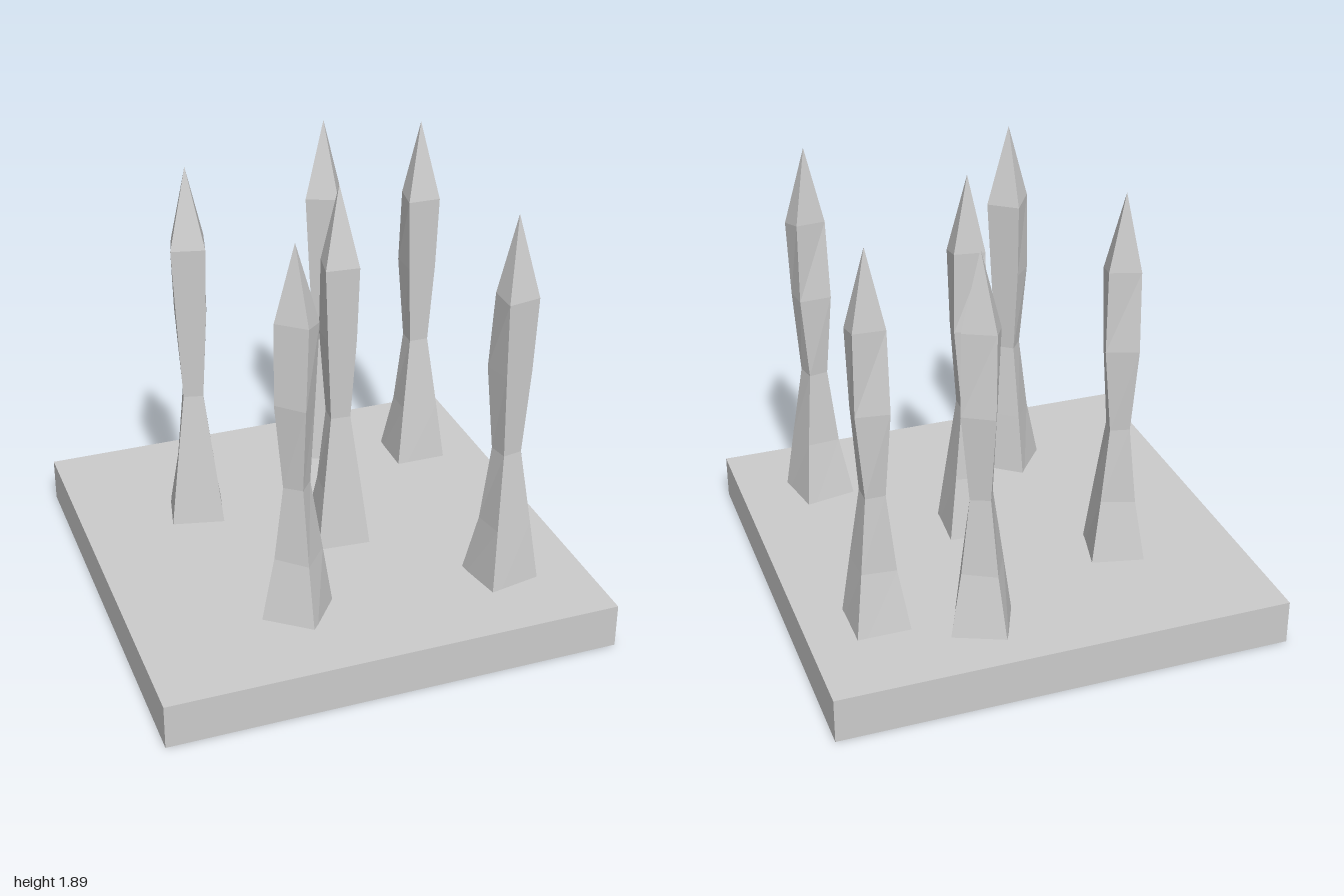
import * as THREE from 'three';

const material = new THREE.MeshStandardMaterial({ color: 0xcccccc, flatShading: true, side: THREE.DoubleSide });

// Four-cornered cross-sections from bottom to top: [x, y, z] for back left, back right, front right, front left
const RINGS = [
  [[-0.13, 0.1, -0.135], [0.13, 0.1, -0.135], [0.129, 0.1, 0.129], [-0.129, 0.1, 0.129]],
  [[-0.075, 0.47, -0.066], [0.077, 0.48, -0.066], [0.085, 0.48, 0.085], [-0.085, 0.48, 0.085]],
  [[-0.043, 0.82, -0.043], [0.043, 0.82, -0.043], [0.044, 0.82, 0.045], [-0.044, 0.82, 0.045]],
  [[-0.066, 1.2, -0.07], [0.075, 1.2, -0.052], [0.066, 1.2, 0.058], [-0.062, 1.2, 0.058]],
  [[-0.068, 1.55, -0.038], [0.072, 1.56, -0.05], [0.073, 1.535, 0.07], [-0.076, 1.535, 0.07]],
];
const TIP = [0, 1.89, 0];

// Skin the rings into an open-bottomed spike closed by a point
function spikeGeometry() {
  const pos = [];
  const tri = (...corners) => corners.forEach((c) => pos.push(...c));
  RINGS.forEach((ring, r) => {
    const above = RINGS[r + 1];
    for (let i = 0; i < 4; i++) {
      const j = (i + 1) % 4;
      if (above) {
        tri(ring[j], ring[i], above[i]);
        tri(ring[j], above[i], above[j]);
      } else {
        tri(ring[j], ring[i], TIP);
      }
    }
  });
  const geo = new THREE.BufferGeometry();
  geo.setAttribute('position', new THREE.Float32BufferAttribute(pos, 3));
  geo.computeVertexNormals();
  return geo;
}

export function createModel() {
  const model = new THREE.Group();
  model.name = 'spikeTrap';
  const add = (name, geo) => {
    const mesh = new THREE.Mesh(geo, material);
    mesh.name = name;
    model.add(mesh);
    return mesh;
  };

  // Hollow base slab, open underneath
  add('baseWalls', new THREE.CylinderGeometry(Math.SQRT2, Math.SQRT2, 0.2, 4, 1, true)
    .rotateY(Math.PI / 4).translate(0, 0.1, 0));
  add('baseTop', new THREE.PlaneGeometry(2, 2).rotateX(-Math.PI / 2).translate(0, 0.2, 0));

  // Spikes: x, z, turn in degrees
  const geo = spikeGeometry();
  [
    [-0.465, -0.35, -13],
    [-0.29, 0.556, -218],
    [0.077, 0.052, -4],
    [0.28, -0.695, -23.5],
    [0.685, -0.53, 0],
    [0.635, 0.588, 11],
  ].forEach(([x, z, turn], i) => {
    const spike = add(`spike${i + 1}`, geo);
    spike.position.set(x, 0, z);
    spike.rotation.y = THREE.MathUtils.degToRad(turn);
  });
  return model;
}
